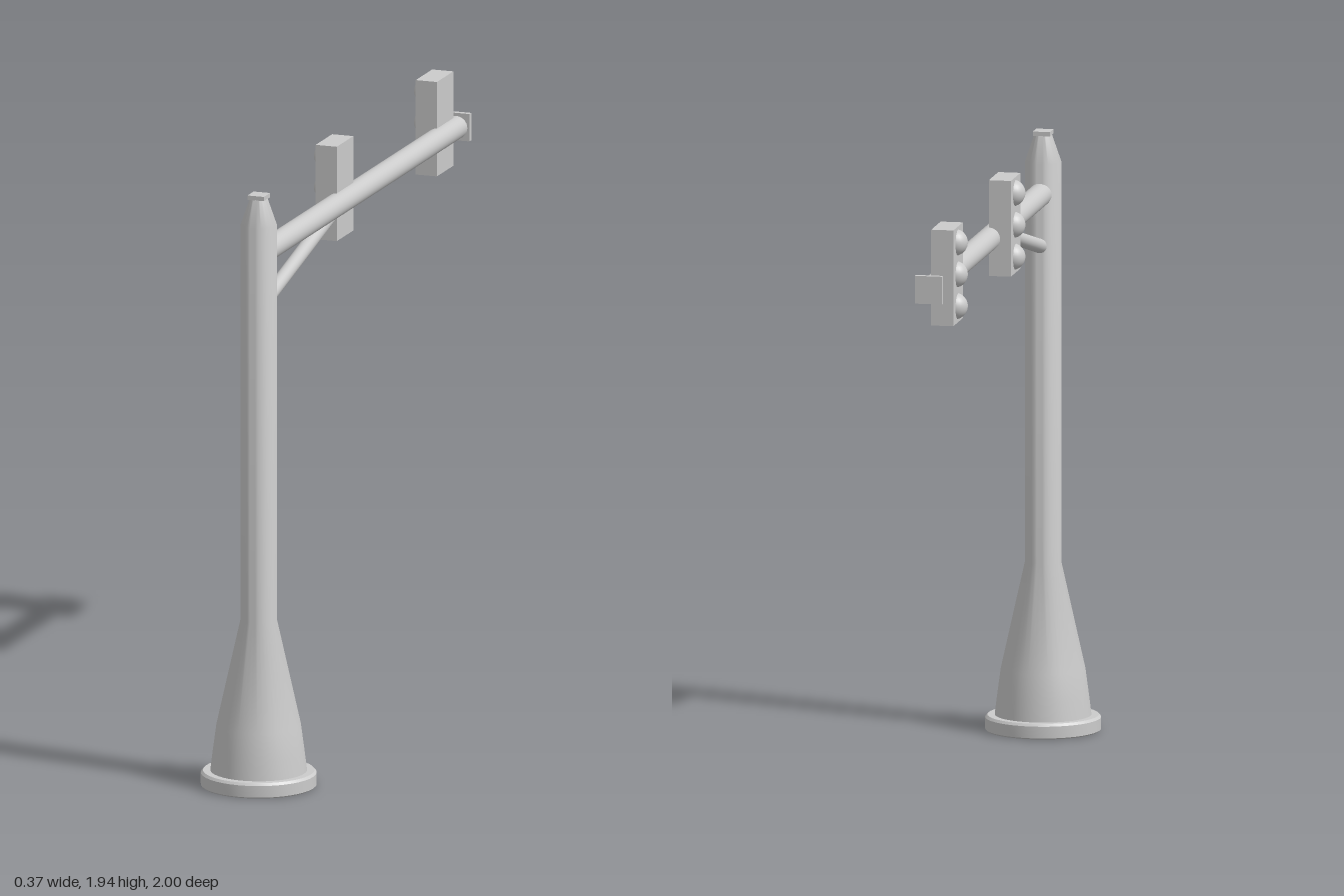
import * as THREE from 'three';
import { toCreasedNormals } from 'three/addons/utils/BufferGeometryUtils.js';

export function createModel() {
  const model = new THREE.Group();
  const grey = new THREE.MeshStandardMaterial({ color: 0xcccccc });
  const open = new THREE.MeshStandardMaterial({ color: 0xcccccc, side: THREE.DoubleSide });
  const poleZ = 0.815;

  const add = (parent, name, geometry, x, y, z, material = grey) => {
    const mesh = new THREE.Mesh(geometry, material);
    mesh.name = name;
    mesh.position.set(x, y, z);
    parent.add(mesh);
    return mesh;
  };
  const lathe = (points) => toCreasedNormals(
    new THREE.LatheGeometry(points.map(([r, y]) => new THREE.Vector2(r, y)), 40), 0.7);

  // Round bar running between two points in the x = 0 plane
  const bar = (name, radius, y0, z0, y1, z1) => {
    const from = new THREE.Vector3(0, y0, z0);
    const to = new THREE.Vector3(0, y1, z1);
    const dir = to.clone().sub(from);
    const mid = from.add(to).multiplyScalar(0.5);
    const mesh = add(model, name, new THREE.CylinderGeometry(radius, radius, dir.length(), 28), mid.x, mid.y, mid.z);
    mesh.quaternion.setFromUnitVectors(new THREE.Vector3(0, 1, 0), dir.normalize());
  };

  // Hollow foot ring, open underneath
  add(model, 'baseRing', lathe([
    [0.142, 0.05], [0.142, 0], [0.18, 0], [0.185, 0.004], [0.185, 0.042], [0.178, 0.05], [0.142, 0.05],
  ]), 0, 0, poleZ, open);

  // Flared foot, straight shaft and tapered neck
  add(model, 'pole', lathe([
    [0.155, 0.045], [0.147, 0.11], [0.135, 0.2], [0.058, 0.545], [0.058, 1.84], [0.027, 1.93], [0, 1.93],
  ]), 0, 0, poleZ, open);
  add(model, 'poleCap', new THREE.BoxGeometry(0.056, 0.014, 0.056), 0, 1.933, poleZ);

  // Arm with its end plate, and the brace below it
  bar('arm', 0.037, 1.74, 0.79, 1.74, -0.99);
  add(model, 'armEndPlate', new THREE.BoxGeometry(0.088, 0.09, 0.017), 0, 1.742, -0.9915);
  bar('brace', 0.023, 1.568, 0.79, 1.738, 0.09);

  // Two signal heads, each with three domed lamps facing -x
  const lampGeometry = new THREE.SphereGeometry(0.043, 28, 18);
  for (const z of [0.03, -0.88]) {
    const signal = new THREE.Group();
    signal.name = 'signalHead';
    signal.position.set(0, 1.775, z);
    add(signal, 'signalHousing', new THREE.BoxGeometry(0.072, 0.31, 0.15), -0.036, 0, 0);
    for (const y of [-0.103, 0, 0.103]) add(signal, 'lamp', lampGeometry, -0.06, y, 0);
    model.add(signal);
  }
  return model;
}
